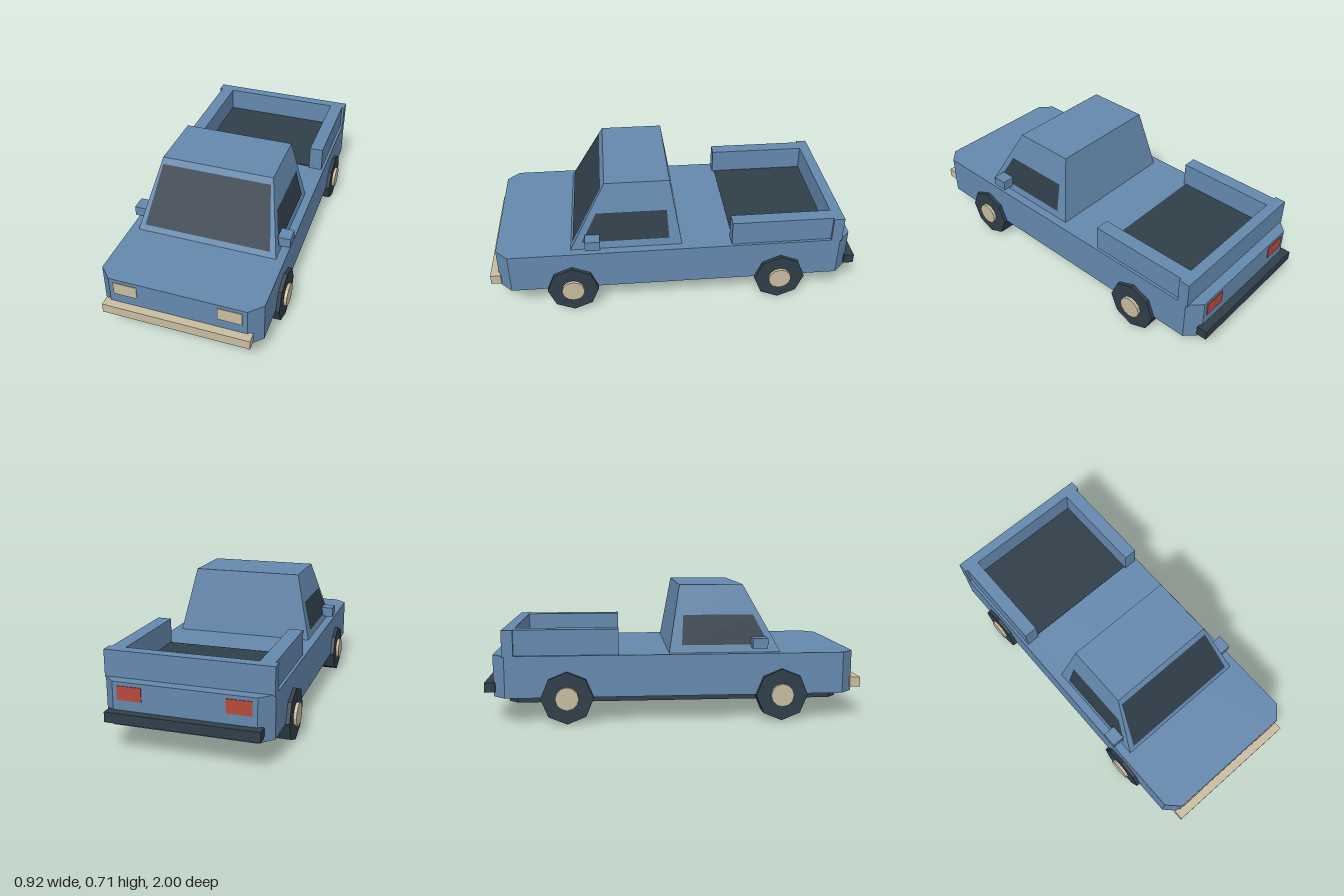
import * as THREE from 'three';

const material = (name, color) => {
  const m = new THREE.MeshStandardMaterial({ color });
  m.name = name;
  return m;
};

export function createModel() {
  const truck = new THREE.Group();
  truck.name = 'pickupTruck';
  const blue = material('bluePaint', 0x6488ad);
  const dark = material('darkTrim', 0x303e49);
  const tan = material('paleTan', 0xc8bb9f);
  const red = material('tailRed', 0xb5483c);

  const add = (name, geometry, mat, x = 0, y = 0, z = 0) => {
    const mesh = new THREE.Mesh(geometry, mat);
    mesh.name = name;
    mesh.position.set(x, y, z);
    truck.add(mesh);
    return mesh;
  };
  // Box given by its limits on each axis
  const box = (name, mat, [x0, x1], [y0, y1], [z0, z1]) =>
    add(name, new THREE.BoxGeometry(x1 - x0, y1 - y0, z1 - z0), mat,
      (x0 + x1) / 2, (y0 + y1) / 2, (z0 + z1) / 2);
  // Mirrored x range for side s (+1 left, -1 right)
  const side = (s, a, b) => (s > 0 ? [a, b] : [-b, -a]);

  // Slab with cut corners, standing on y0
  const slab = (name, mat, hx, hz, cut, y0, y1) => {
    const shape = new THREE.Shape([
      [hx, hz - cut], [hx - cut, hz], [cut - hx, hz], [-hx, hz - cut],
      [-hx, cut - hz], [cut - hx, -hz], [hx - cut, -hz], [hx, cut - hz],
    ].map(([x, y]) => new THREE.Vector2(x, y)));
    const g = new THREE.ExtrudeGeometry(shape, { depth: y1 - y0, bevelEnabled: false });
    add(name, g.rotateX(-Math.PI / 2), mat, 0, y0, 0);
  };
  slab('body', blue, 0.425, 0.956, 0.066, 0.14, 0.36);
  slab('chassis', dark, 0.37, 0.88, 0.05, 0.105, 0.145);

  // Cab: a box tapered towards the roof
  const Y0 = 0.36, Y1 = 0.715;
  const cab = new THREE.BoxGeometry(1, 1, 1);
  const p = cab.attributes.position;
  for (let i = 0; i < p.count; i++) {
    const top = p.getY(i) > 0, front = p.getZ(i) > 0;
    p.setXYZ(i, Math.sign(p.getX(i)) * (top ? 0.3 : 0.38), top ? Y1 : Y0,
      front ? (top ? 0.365 : 0.56) : (top ? 0.025 : -0.035));
  }
  cab.computeVertexNormals();
  add('cab', cab, blue);

  // Glass panes lie just outside the sloped cab faces
  const pane = (name, corners) => {
    const g = new THREE.BufferGeometry();
    g.setAttribute('position', new THREE.Float32BufferAttribute(corners.flat(), 3));
    g.setIndex([0, 1, 2, 0, 2, 3]);
    g.computeVertexNormals();
    add(name, g, dark);
  };
  const rise = (y) => (y - Y0) / (Y1 - Y0);
  const frontPoint = (x, y) => [x, y, 0.564 - 0.195 * rise(y)];
  pane('windshield', [frontPoint(-0.345, 0.39), frontPoint(0.345, 0.39),
    frontPoint(0.293, 0.685), frontPoint(-0.293, 0.685)]);

  for (const s of [1, -1]) {
    const label = s > 0 ? 'left' : 'right';
    const sidePoint = (y, z) => [s * (0.383 - 0.08 * rise(y)), y, z];
    const corners = [sidePoint(0.4, 0.5), sidePoint(0.4, 0.033),
      sidePoint(0.557, 0.043), sidePoint(0.557, 0.415)];
    pane(label + 'Window', s > 0 ? corners : corners.reverse());

    box(label + 'Mirror', blue, side(s, 0.36, 0.432), [0.386, 0.44], [0.402, 0.482]);
    box(label + 'BedWall', blue, side(s, 0.335, 0.41), [0.355, 0.495], [-0.845, -0.3]);
    box(label + 'Headlight', tan, side(s, 0.21, 0.335), [0.27, 0.341], [0.952, 0.96]);
    box(label + 'TailLight', red, side(s, 0.21, 0.335), [0.27, 0.341], [-0.96, -0.952]);

    // Eight-sided wheels with hubcaps
    for (const [end, z] of [['Front', 0.56], ['Rear', -0.57]]) {
      const tyre = new THREE.CylinderGeometry(0.138, 0.138, 0.09, 8).toNonIndexed();
      tyre.computeVertexNormals();
      add(label + end + 'Wheel', tyre.rotateZ(Math.PI / 2), dark, s * 0.4, 0.139, z);
      const hub = new THREE.CylinderGeometry(0.061, 0.061, 0.02, 12).toNonIndexed();
      hub.computeVertexNormals();
      add(label + end + 'Hubcap', hub.rotateZ(Math.PI / 2), tan, s * 0.451, 0.139, z);
    }
  }

  // Load bed
  box('bedFloor', dark, [-0.335, 0.335], [0.357, 0.364], [-0.845, -0.312]);
  box('tailgate', blue, [-0.425, 0.425], [0.355, 0.495], [-0.9, -0.842]);

  // Bumpers
  box('frontBumper', tan, [-0.387, 0.387], [0.165, 0.217], [0.945, 1]);
  box('rearBumper', dark, [-0.387, 0.387], [0.165, 0.217], [-1, -0.945]);

  return truck;
}
